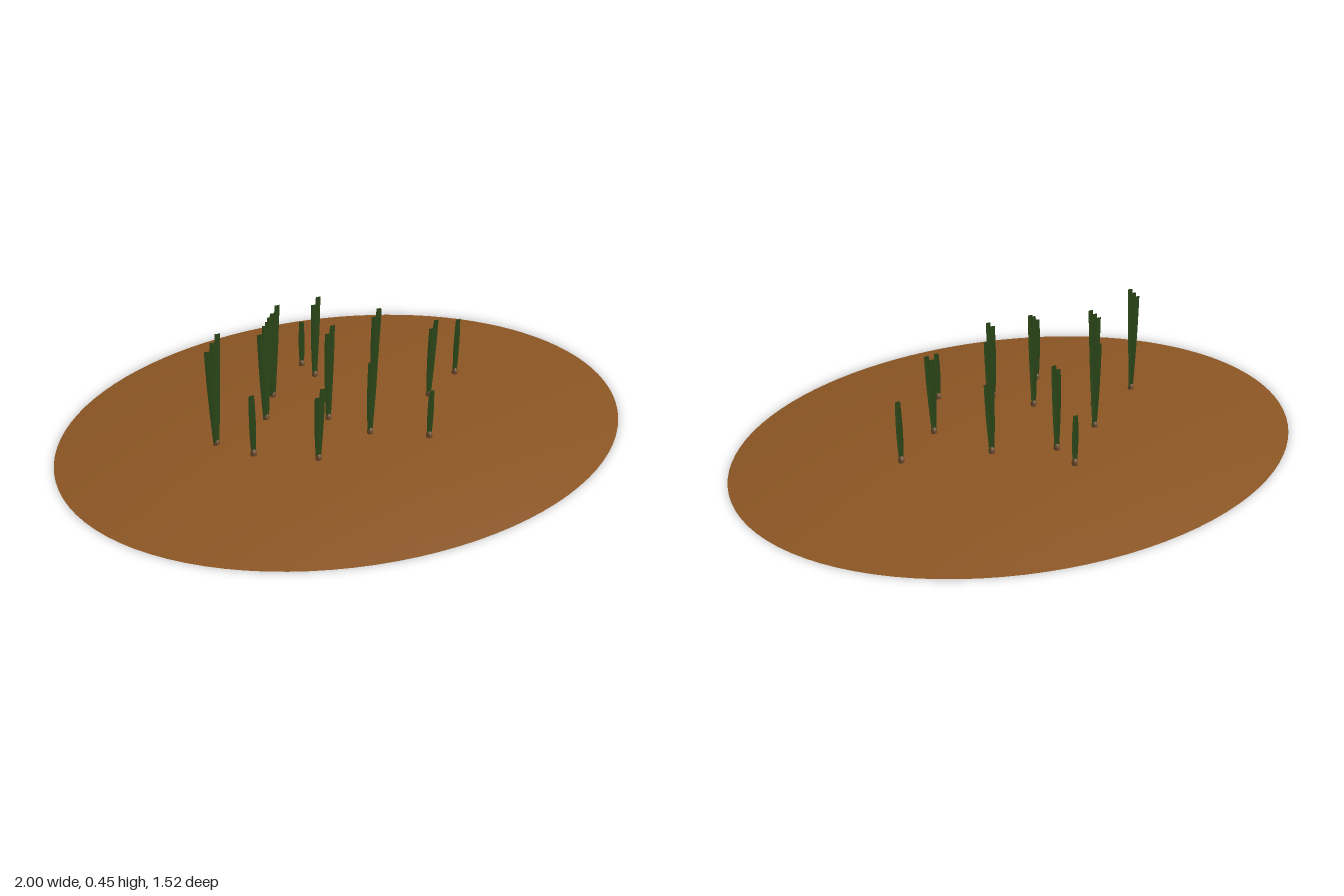
import * as THREE from 'three';

const RX = 1, RZ = 0.76, H = 0.067;
// Height of the mound surface at a point
const ground = (x, z) => H * (1 - (x / RX) ** 2 - (z / RZ) ** 2);

// Each clump: base x, base z, tip height of the tallest blade, blade count
const CLUMPS = [
  [-0.045, -0.33, 0.235, 1], [-0.03, -0.23, 0.375, 2], [0.174, -0.16, 0.32, 2],
  [-0.215, -0.15, 0.41, 3], [0.115, -0.027, 0.4, 2], [-0.282, -0.02, 0.44, 3],
  [0.458, -0.075, 0.275, 1], [0.298, 0.043, 0.355, 2], [-0.477, 0.053, 0.455, 3],
  [-0.087, 0.064, 0.42, 2], [-0.382, 0.16, 0.28, 1], [0.014, 0.19, 0.36, 2],
  [-0.195, 0.262, 0.315, 2], [0.193, 0.273, 0.235, 1],
];

// Underground runners, as pairs of clump indices
const LINKS = [
  [6, 7], [7, 13], [7, 4], [4, 9], [4, 11], [11, 12], [12, 10],
  [9, 5], [5, 8], [9, 3], [3, 1], [1, 0], [1, 2],
];

// Narrow blunt blade with a faint centre fold, built row by row
function bladeGeometry(height, leanX, leanZ) {
  const rows = 6, pos = [], index = [];
  for (let r = 0; r <= rows; r++) {
    const t = r / rows;
    const half = 0.006 + 0.0055 * Math.sin(Math.PI * Math.min(1, 0.1 + t * 0.75));
    for (let c = -1; c <= 1; c++) {
      pos.push(leanX * t ** 1.3 + c * half, height * t, leanZ * t + (c === 0 ? 0.002 : 0));
    }
  }
  for (let r = 0; r < rows; r++) {
    for (let c = 0; c < 2; c++) {
      const a = r * 3 + c, b = a + 1, d = a + 3, e = a + 4;
      index.push(a, b, e, a, e, d);
    }
  }
  const g = new THREE.BufferGeometry();
  g.setAttribute('position', new THREE.Float32BufferAttribute(pos, 3));
  g.setIndex(index);
  g.computeVertexNormals();
  return g;
}

export function createModel() {
  const soil = new THREE.MeshStandardMaterial({ color: 0x8b5523, side: THREE.DoubleSide });
  soil.name = 'soil brown';
  const leaf = new THREE.MeshStandardMaterial({ color: 0x2b4719, side: THREE.DoubleSide });
  leaf.name = 'leaf green';
  const root = new THREE.MeshStandardMaterial({ color: 0x6b4a2c });
  root.name = 'root brown';

  const model = new THREE.Group();
  model.name = 'grassMound';
  const add = (parent, geometry, material, name) => {
    const mesh = new THREE.Mesh(geometry, material);
    mesh.name = name;
    parent.add(mesh);
    return mesh;
  };

  // Shallow oval mound, open underneath
  const profile = [];
  for (let i = 0; i <= 16; i++) {
    const r = 1 - i / 16;
    profile.push(new THREE.Vector2(r, H * (1 - r * r)));
  }
  const mound = add(model, new THREE.LatheGeometry(profile, 96), soil, 'mound');
  mound.scale.set(RX, 1, RZ);

  // Clumps: a small crown at the base and one to three blades
  for (const [x, z, top, count] of CLUMPS) {
    const clump = new THREE.Group();
    clump.name = 'clump';
    const y = ground(x, z);
    clump.position.set(x, y, z);
    model.add(clump);

    const crown = add(clump, new THREE.SphereGeometry(0.011, 12, 8), root, 'crown');
    crown.scale.y = 1.6;
    crown.position.y = 0.004;

    for (let i = 0; i < count; i++) {
      const fromTallest = count - 1 - i;
      const spread = i - (count - 1) / 2;
      const height = top - y - fromTallest * 0.022;
      const leanX = count === 1 ? 0.002 : 0.008 + spread * 0.018;
      const blade = add(clump, bladeGeometry(height, leanX, -spread * 0.006), leaf, 'blade');
      blade.position.set(spread * 0.004, 0, -spread * 0.005);
    }
  }

  // Thin runners just beneath the surface, joining the clumps
  for (const [a, b] of LINKS) {
    const [ax, az] = CLUMPS[a], [bx, bz] = CLUMPS[b];
    const points = [0, 0.5, 1].map((t) => {
      const x = ax + (bx - ax) * t, z = az + (bz - az) * t;
      return new THREE.Vector3(x, ground(x, z) - 0.007, z);
    });
    const path = new THREE.CatmullRomCurve3(points);
    add(model, new THREE.TubeGeometry(path, 8, 0.004, 6), root, 'runner');
  }
  return model;
}
